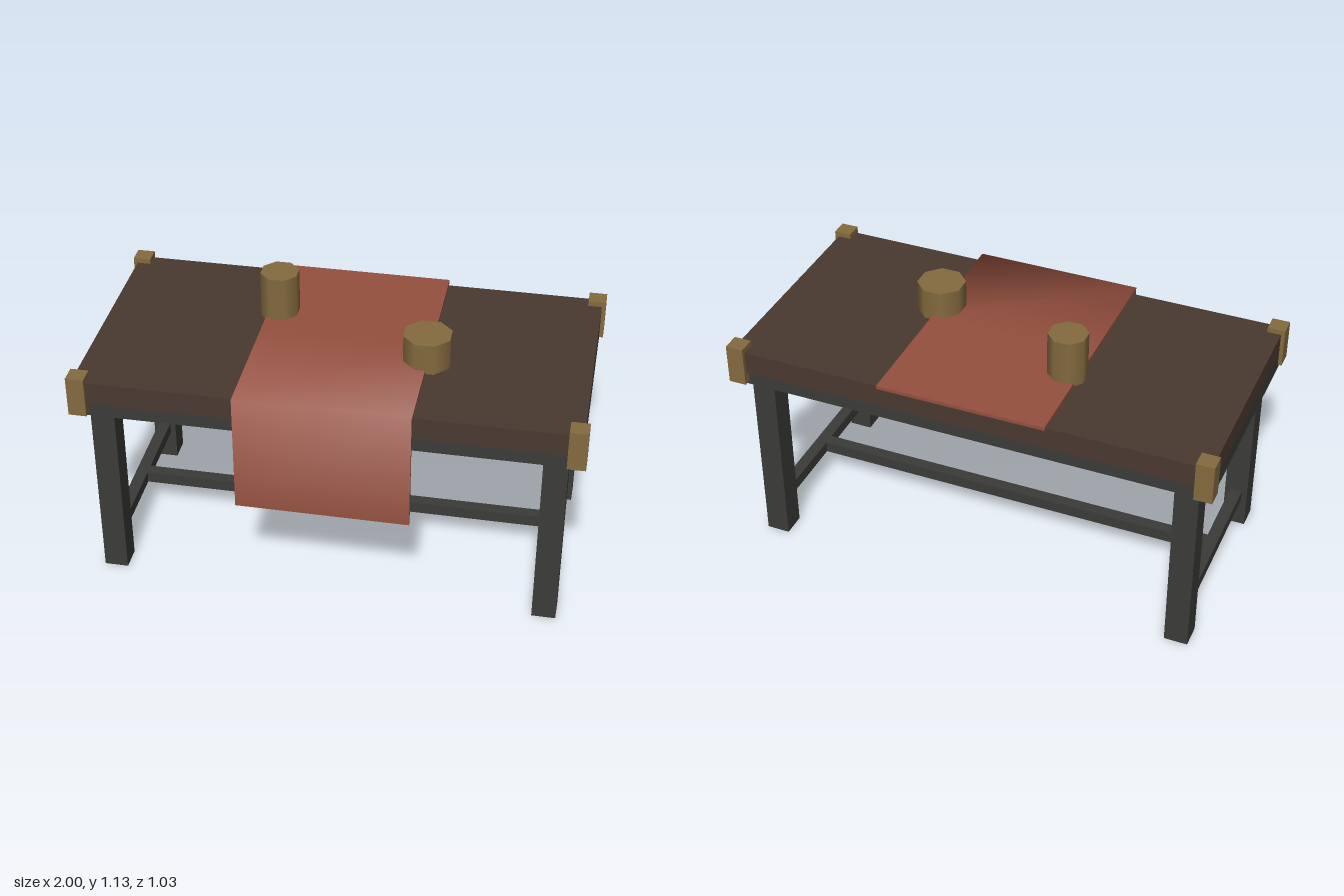
import * as THREE from 'three';

const material = (color) => new THREE.MeshStandardMaterial({ color });

export function createModel() {
  const model = new THREE.Group();
  const wood = material(0x4a3a30);
  const iron = material(0x3b3b39);
  const brass = material(0x846b3f);
  const cloth = material(0x95503f);
  cloth.side = THREE.DoubleSide;

  const add = (name, geometry, mat) => {
    const mesh = new THREE.Mesh(geometry, mat);
    mesh.name = name;
    model.add(mesh);
    return mesh;
  };
  // Box given by its limits on each axis
  const box = (name, mat, [x0, x1], [y0, y1], [z0, z1]) => {
    const mesh = add(name, new THREE.BoxGeometry(x1 - x0, y1 - y0, z1 - z0), mat);
    mesh.position.set((x0 + x1) / 2, (y0 + y1) / 2, (z0 + z1) / 2);
  };

  // Top and the solid frame slab beneath it
  box('tableTop', wood, [-0.984, 0.984], [0.84, 0.935], [-0.498, 0.484]);
  box('topFrame', iron, [-0.984, 0.984], [0.772, 0.84], [-0.478, 0.464]);

  // Legs, corner caps and side stretchers, mirrored left and right
  for (const [side, s] of [['left', 1], ['right', -1]]) {
    const span = (a, b) => (s > 0 ? [a, b] : [-b, -a]);
    box(side + 'FrontLeg', iron, span(0.838, 0.934), [0, 0.775], [0.338, 0.435]);
    box(side + 'BackLeg', iron, span(0.838, 0.934), [0, 0.775], [-0.449, -0.351]);
    box(side + 'FrontCornerCap', brass, span(0.928, 1), [0.79, 0.956], [0.427, 0.499]);
    box(side + 'BackCornerCap', brass, span(0.928, 1), [0.79, 0.956], [-0.513, -0.441]);
    box(side + 'Stretcher', iron, span(0.861, 0.911), [0.125, 0.174], [-0.351, 0.338]);
  }
  box('longStretcher', iron, [-0.861, 0.861], [0.125, 0.174], [-0.032, 0.018]);

  // Cloth runner: a box of three lengths folded over the front edge
  const outer = [[0.95, -0.517], [0.95, 0], [0.95, 0.512], [0.45, 0.514]]; // y, z
  const inner = [[0.936, -0.517], [0.936, 0], [0.936, 0.499], [0.45, 0.497]];
  const runner = new THREE.BoxGeometry(0.69, 1, 3, 1, 1, 3);
  const p = runner.attributes.position;
  for (let i = 0; i < p.count; i++) {
    const row = Math.round(p.getZ(i) + 1.5);
    const [y, z] = (p.getY(i) > 0 ? outer : inner)[row];
    p.setXYZ(i, p.getX(i), y, z);
  }
  runner.computeVertexNormals();
  add('clothRunner', runner, cloth);

  // Eight-sided pots, flats square to the table
  const pot = (name, x, z, flatRadius, top) => {
    const base = 0.935, r = flatRadius / Math.cos(Math.PI / 8);
    const geometry = new THREE.CylinderGeometry(r, r, top - base, 8, 1, false, Math.PI / 8);
    add(name, geometry, brass).position.set(x, (top + base) / 2, z);
  };
  pot('tallPot', -0.297, -0.154, 0.0735, 1.132);
  pot('shortPot', 0.341, 0.09, 0.091, 1.063);

  return model;
}
